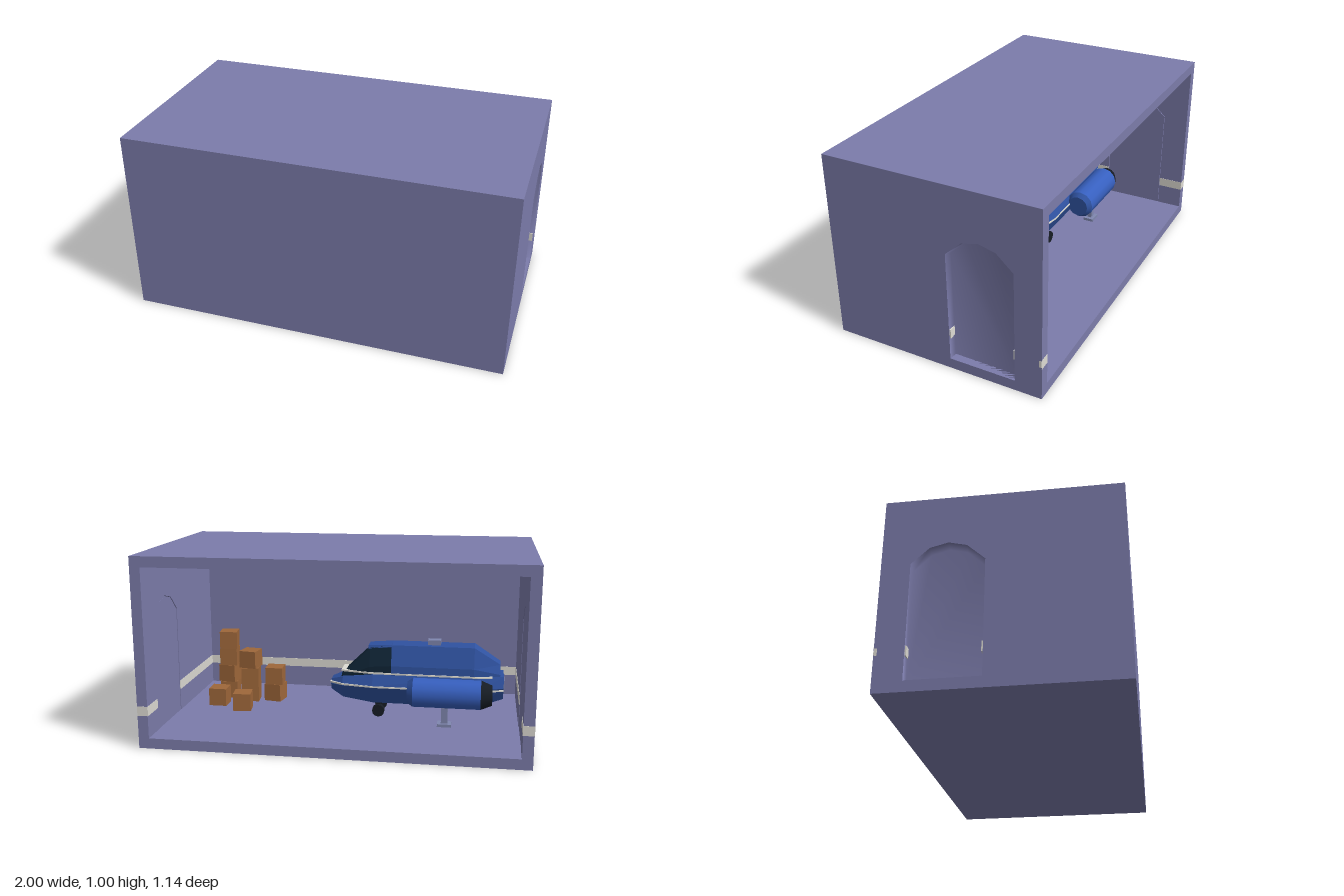
import * as THREE from 'three';

const T = 0.055, Z = 0.57; // wall thickness, half depth

const mat = (name, color) => Object.assign(new THREE.MeshStandardMaterial({ color }), { name });

export function createModel() {
  const wall = mat('lavender wall', 0x7c7cab);
  const white = mat('off white', 0xdedcd4);
  const wood = mat('crate brown', 0x9e673a);
  const blue = mat('hull blue', 0x2f52a0);
  const bright = mat('pod blue', 0x3760c0);
  const glass = mat('dark glass', 0x0f2436);
  const rubber = mat('black rubber', 0x161c24);
  const metal = mat('gear grey', 0x8088b0);

  const root = new THREE.Group();
  root.name = 'hangar';
  const group = (name) => {
    const g = new THREE.Group();
    g.name = name;
    root.add(g);
    return g;
  };
  const add = (parent, name, geo, m, x = 0, y = 0, z = 0) => {
    const mesh = new THREE.Mesh(geo, m);
    mesh.name = name;
    mesh.position.set(x, y, z);
    parent.add(mesh);
    return mesh;
  };
  const box = (parent, name, m, w, h, d, x, y, z) =>
    add(parent, name, new THREE.BoxGeometry(w, h, d), m, x, y, z);

  // Room shell, open at the back
  const room = group('room');
  const inner = 2 - 2 * T;
  box(room, 'floor', wall, inner, T, 2 * Z, 0, T / 2, 0);
  box(room, 'ceiling', wall, inner, T, 2 * Z, 0, 1 - T / 2, 0);
  box(room, 'frontWall', wall, inner, 1 - 2 * T, T, 0, 0.5, Z - T / 2);

  // Arched doorway outline as (z, y), counterclockwise
  const dz = -0.255;
  const arch = (hw, top) => [
    [dz - hw, T], [dz + hw, T], [dz + hw, 0.645 - top], [dz + hw * 0.5, 0.725 - top],
    [dz, 0.747 - top], [dz - hw * 0.5, 0.725 - top], [dz - hw, 0.645 - top],
  ];
  const toShape = (pts) => new THREE.Shape(pts.map(([a, b]) => new THREE.Vector2(a, b)));
  const sideways = (shape, depth) =>
    new THREE.ExtrudeGeometry(shape, { depth, bevelEnabled: false }).rotateY(-Math.PI / 2);

  // Smoothly shaded recess: tapering jamb plus door panel
  const niche = (s) => {
    const o = arch(0.175, 0), n = arch(0.17, 0.014), k = o.length;
    const pos = [], idx = [];
    o.forEach(([z, y]) => pos.push(s, y, z));
    n.forEach(([z, y]) => pos.push(s * (1 - 0.042), y, z));
    const tri = (a, b, c) => idx.push(...(s > 0 ? [a, c, b] : [a, b, c]));
    for (let i = 0; i < k; i++) {
      const j = (i + 1) % k;
      tri(i, j, k + j);
      tri(i, k + j, k + i);
    }
    for (let i = 1; i < k - 1; i++) tri(k, k + i, k + i + 1);
    const g = new THREE.BufferGeometry();
    g.setAttribute('position', new THREE.Float32BufferAttribute(pos, 3));
    g.setIndex(idx);
    g.computeVertexNormals();
    return g;
  };

  // Side walls with doors and the white wall band
  const by = 0.2, bh = 0.05, e = 0.004;
  for (const s of [1, -1]) {
    const side = s > 0 ? 'left' : 'right';
    const shape = toShape([[-Z, 0], [Z, 0], [Z, 1], [-Z, 1]]);
    shape.holes.push(toShape(arch(0.175, 0).reverse()));
    add(room, side + 'Wall', sideways(shape, T), wall, s > 0 ? 1 : -1 + T);
    add(room, side + 'Door', niche(s), wall);
    add(room, side + 'DoorInside', sideways(toShape(arch(0.172, 0.003)), 0.008), wall,
      s > 0 ? 1 - T + 0.01 : -1 + T - 0.002);
    const xi = s * (1 - T);
    for (const [z0, z1] of [[-Z, -0.43], [-0.08, Z - T]])
      box(room, side + 'Band', white, e, bh, z1 - z0, xi, by, (z0 + z1) / 2);
    box(room, side + 'RimBand', white, T, bh, 0.002, s * (1 - T / 2), by, -Z);
    box(room, side + 'CornerBand', white, 0.002, 0.036, 0.014, s, by, -Z + 0.008);
    for (const z of [-0.426, -0.084])
      box(room, side + 'JambBand', white, 0.036, bh, 0.007, s * 0.979, by, z);
  }
  box(room, 'frontBand', white, inner, bh, e, 0, by, Z - T);

  // Crate stacks: x, z, number of crates
  const crates = group('crates');
  [[0.76, 0.07, 1], [0.6, -0.01, 1], [0.46, 0.205, 2], [0.6, 0.18, 3], [0.74, 0.23, 4]]
    .forEach(([x, z, count], c) => {
      for (let i = 0; i < count; i++) {
        const m = box(crates, 'crate', wood, 0.1, 0.1, 0.1, x, T + 0.05 + i * 0.1, z);
        m.rotation.y = 0.18 * Math.sin(c * 2.3 + i * 1.9);
      }
    });

  // Parked shuttle, nose towards +x
  const ship = group('shuttle');
  ship.position.z = 0.05;

  // Loft through stations [x, bottom, middle, top, bottom / middle / top half width]
  const loft = (stations) => {
    const rings = stations.map(([x, y0, y1, y2, w0, w1, w2]) =>
      [[y0, -w0], [y1, -w1], [y2, -w2], [y2, w2], [y1, w1], [y0, w0]].map(([y, z]) => [x, y, z]));
    const pos = [];
    const tri = (...p) => p.forEach((q) => pos.push(...q));
    for (let i = 0; i + 1 < rings.length; i++)
      for (let j = 0; j < 6; j++) {
        const k = (j + 1) % 6, a = rings[i], b = rings[i + 1];
        tri(a[j], b[j], b[k]);
        tri(a[j], b[k], a[k]);
      }
    const f = rings[0], r = rings[rings.length - 1];
    for (let j = 1; j < 5; j++) {
      tri(f[0], f[j], f[j + 1]);
      tri(r[0], r[j + 1], r[j]);
    }
    const g = new THREE.BufferGeometry();
    g.setAttribute('position', new THREE.Float32BufferAttribute(pos, 3));
    g.computeVertexNormals();
    return g;
  };

  const hull = [
    [0.09, 0.19, 0.225, 0.25, 0.03, 0.05, 0.035],
    [0.02, 0.155, 0.23, 0.275, 0.06, 0.095, 0.07],
    [-0.15, 0.135, 0.24, 0.3, 0.08, 0.125, 0.095],
    [-0.72, 0.135, 0.24, 0.31, 0.08, 0.125, 0.1],
    [-0.86, 0.18, 0.25, 0.31, 0.05, 0.09, 0.07],
  ];
  add(ship, 'hull', loft(hull), blue);
  const canopy = [
    [0.03, 0.25, 0.265, 0.285, 0.06, 0.06, 0.04],
    [-0.13, 0.27, 0.34, 0.44, 0.09, 0.088, 0.05],
    [-0.25, 0.27, 0.35, 0.455, 0.095, 0.092, 0.055],
  ];
  add(ship, 'canopy', loft(canopy), glass);
  add(ship, 'cabin', loft([
    [-0.25, 0.27, 0.35, 0.46, 0.1, 0.096, 0.06],
    [-0.7, 0.27, 0.35, 0.46, 0.1, 0.096, 0.06],
    [-0.84, 0.27, 0.32, 0.37, 0.075, 0.07, 0.045],
  ]), blue);
  add(ship, 'canopyFrame', loft([
    [-0.12, 0.43, 0.435, 0.452, 0.05, 0.051, 0.045],
    [-0.25, 0.445, 0.45, 0.461, 0.057, 0.058, 0.052],
  ]), blue);

  // White trim lines around the hull and below the cabin
  const trim = (name, pts, y) => {
    const outline = [...pts, ...pts.slice().reverse().map(([x, w]) => [x, -w])];
    const g = new THREE.ExtrudeGeometry(toShape(outline), { depth: 0.009, bevelEnabled: false });
    add(ship, name, g.rotateX(-Math.PI / 2), white, 0, y, 0);
  };
  trim('hullTrim', hull.map((h) => [h[0] + (h[0] > 0.05 ? 0.004 : 0), h[5] + 0.003]), 0.232);
  trim('cabinTrim', [[0.03, 0.06], [-0.15, 0.099], [-0.72, 0.104], [-0.8, 0.09]], 0.302);
  box(ship, 'roofVent', metal, 0.07, 0.03, 0.05, -0.48, 0.472, 0);
  box(ship, 'rearHatch', metal, 0.006, 0.07, 0.09, -0.862, 0.245, 0);

  for (const s of [-1, 1]) {
    // Engine pods
    const pod = add(ship, 'enginePod', new THREE.CylinderGeometry(0.08, 0.08, 0.36, 12), bright, -0.56, 0.235, s * 0.18);
    pod.rotation.z = Math.PI / 2;
    const intake = add(ship, 'podIntake', new THREE.CylinderGeometry(0.08, 0.06, 0.03, 12), blue, -0.365, 0.235, s * 0.18);
    intake.rotation.z = Math.PI / 2;
    const nozzle = add(ship, 'podNozzle', new THREE.CylinderGeometry(0.08, 0.055, 0.06, 12), rubber, -0.77, 0.235, s * 0.18);
    nozzle.rotation.z = -Math.PI / 2;
    box(ship, 'podMount', blue, 0.28, 0.05, 0.1, -0.56, 0.24, s * 0.12);
    // Landing feet
    box(ship, 'landingLeg', metal, 0.035, 0.11, 0.025, -0.55, T + 0.06, s * 0.18);
    box(ship, 'landingFoot', metal, 0.075, 0.016, 0.06, -0.55, T + 0.008, s * 0.18);
    // Nose wheels
    const wheel = add(ship, 'noseWheel', new THREE.CylinderGeometry(0.034, 0.034, 0.03, 12), rubber, -0.18, T + 0.034, s * 0.07);
    wheel.rotation.x = Math.PI / 2;
    box(ship, 'wheelStrut', rubber, 0.016, 0.08, 0.016, -0.18, T + 0.07, s * 0.055);
  }
  return root;
}
